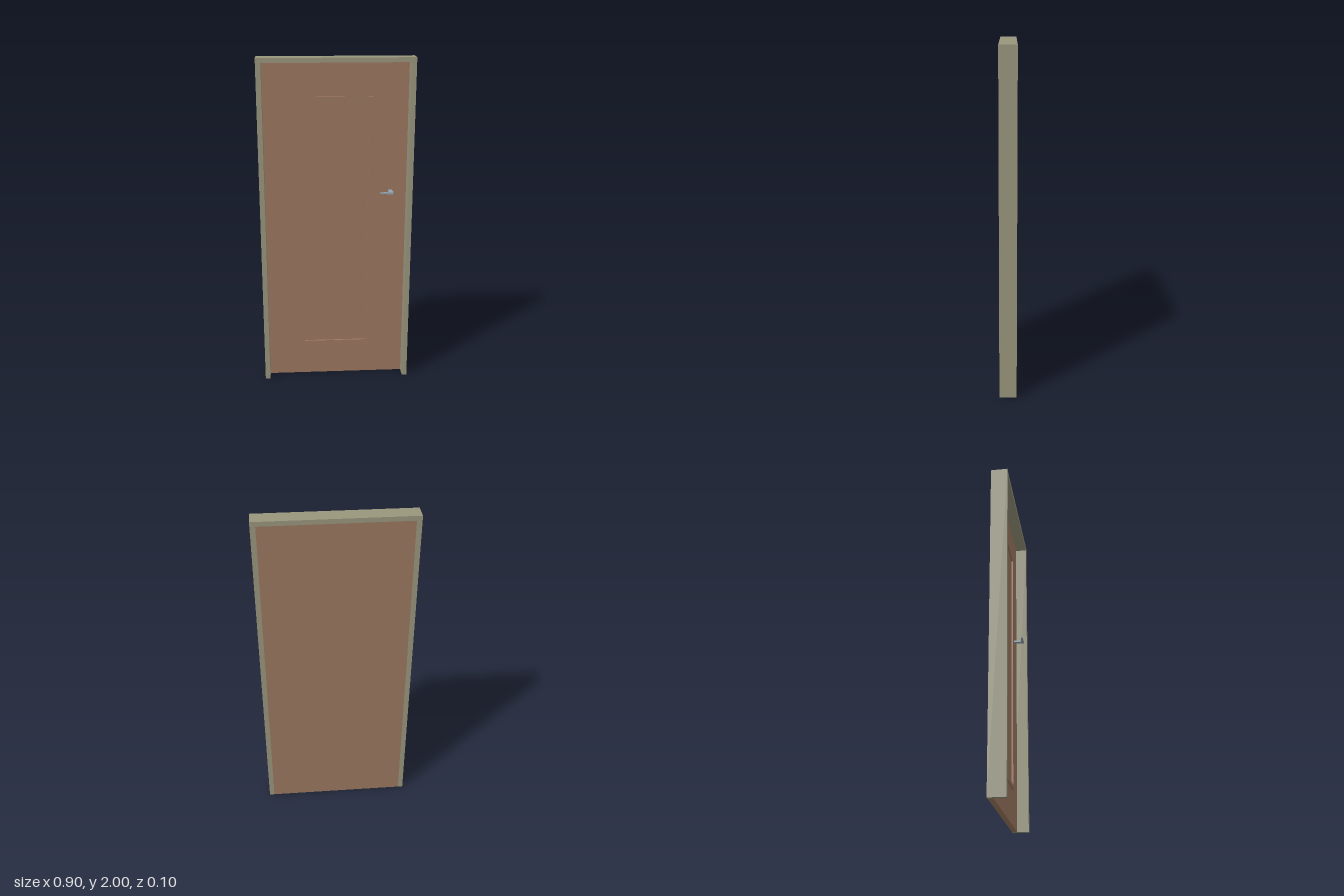
import * as THREE from 'three';

const frameMat = new THREE.MeshStandardMaterial({ color: 0x99967d });
const woodMat = new THREE.MeshStandardMaterial({ color: 0x9c7860 });
const metalMat = new THREE.MeshStandardMaterial({ color: 0x93a3ae });

// Closed outline from a list of [x, y] corners
const outline = (pts, Type = THREE.Shape) => new Type(pts.map(([x, y]) => new THREE.Vector2(x, y)));
const rect = (x0, x1, y0, y1) => [[x0, y0], [x1, y0], [x1, y1], [x0, y1]];

// Extrudes a shape along z between z0 and z1
function slab(name, shape, z0, z1, material) {
  const geo = new THREE.ExtrudeGeometry(shape, { depth: z1 - z0, bevelEnabled: false });
  geo.translate(0, 0, z0);
  const mesh = new THREE.Mesh(geo, material);
  mesh.name = name;
  return mesh;
}

export function createModel() {
  const group = new THREE.Group();
  group.name = 'door';
  const W = 0.45, IN = 0.42, TOP = 1.973, FACE = -0.02;

  // Three-sided frame, open at the floor
  group.add(slab('doorFrame', outline([
    [-W, 0], [-IN, 0], [-IN, TOP], [IN, TOP], [IN, 0], [W, 0], [W, 2], [-W, 2],
  ]), -0.05, 0.05, frameMat));

  // Door leaf, flush with the back of the frame
  group.add(slab('doorLeaf', outline(rect(-IN, IN, 0, TOP)), -0.05, FACE, woodMat));

  // Raised moulding around the panel
  const moulding = outline(rect(-0.22, 0.217, 0.205, 1.775));
  moulding.holes.push(outline(rect(-0.195, 0.192, 0.23, 1.747), THREE.Path));
  group.add(slab('panelMoulding', moulding, FACE, FACE + 0.01, woodMat));

  // Handle: a post out of the leaf and a lever tapering toward the panel
  const handle = new THREE.Group();
  handle.name = 'handle';
  const post = new THREE.Mesh(new THREE.BoxGeometry(0.022, 0.012, 0.05), metalMat);
  post.name = 'handlePost';
  post.position.set(0.325, 1.212, 0.003);
  const leverGeo = new THREE.BoxGeometry(0.08, 0.014, 0.022);
  const p = leverGeo.attributes.position;
  for (let i = 0; i < p.count; i++) {
    if (p.getX(i) < 0) {
      p.setY(i, p.getY(i) * 0.4);
      p.setZ(i, 0.011 + (p.getZ(i) - 0.011) * 0.4);
    }
  }
  const flatLever = leverGeo.toNonIndexed();
  flatLever.computeVertexNormals();
  const lever = new THREE.Mesh(flatLever, metalMat);
  lever.name = 'handleLever';
  lever.position.set(0.298, 1.212, 0.03);
  handle.add(post, lever);
  group.add(handle);

  return group;
}
